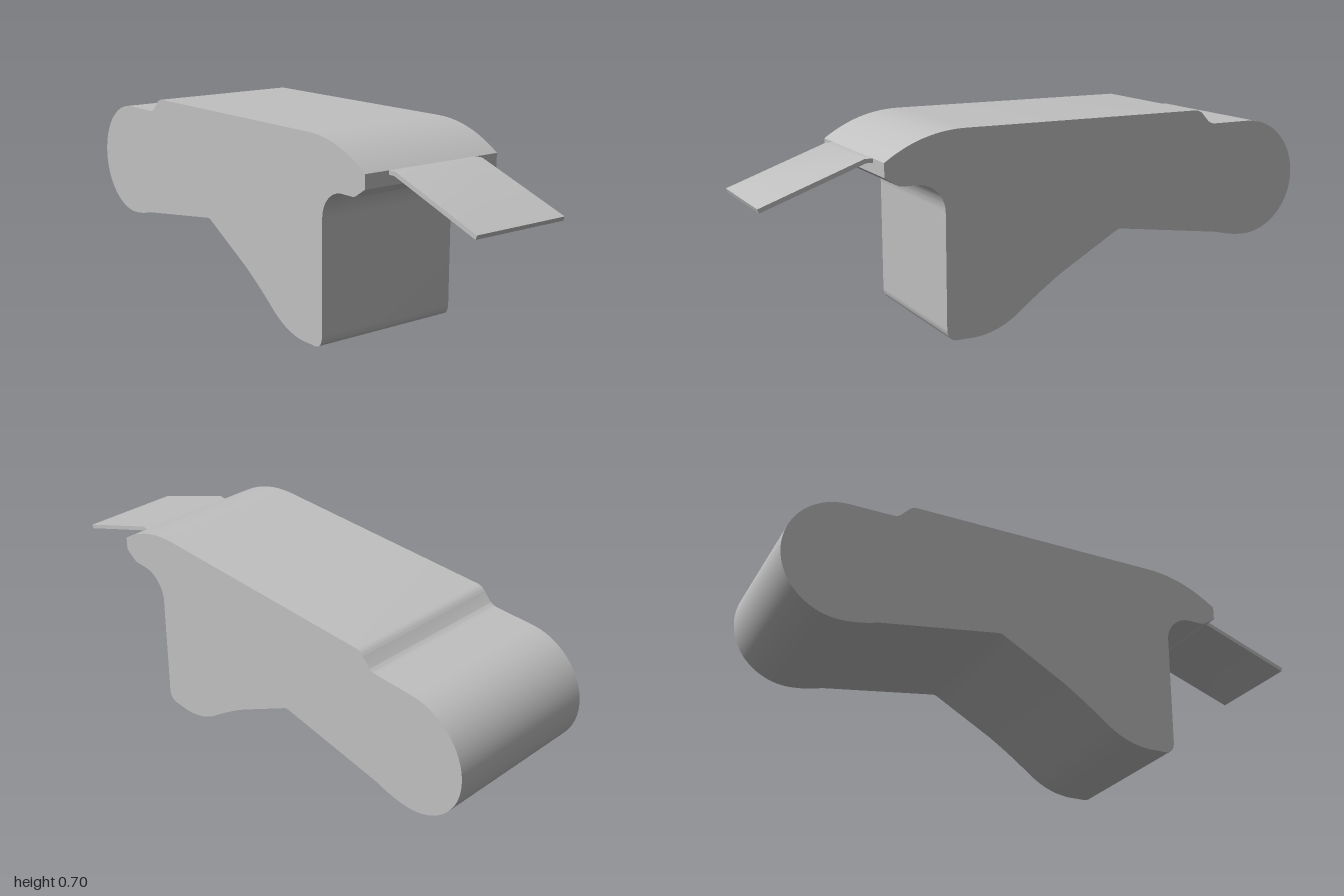
import * as THREE from 'three';
import { toCreasedNormals } from 'three/addons/utils/BufferGeometryUtils.js';

// Extrudes a side profile (x = forward, y = up) across the given width, centred on x = 0
function sideExtrude(shape, width, name, material) {
  const geo = new THREE.ExtrudeGeometry(shape, { depth: width, bevelEnabled: false, curveSegments: 20 });
  geo.rotateY(-Math.PI / 2);
  geo.translate(width / 2, 0, 0);
  const mesh = new THREE.Mesh(toCreasedNormals(geo, 0.35), material);
  mesh.name = name;
  return mesh;
}

export function createModel() {
  const group = new THREE.Group();
  group.name = 'model';
  const grey = new THREE.MeshStandardMaterial({ color: 0xc0c0c0 });
  grey.name = 'grey';

  // Body: curved nose, flat top with a step, round rear, leg with a curved back
  const body = new THREE.Shape();
  body.moveTo(0.622, 0.613);
  body.bezierCurveTo(0.54, 0.67, 0.45, 0.704, 0.34, 0.704);
  body.lineTo(-0.555, 0.704);
  body.quadraticCurveTo(-0.575, 0.704, -0.59, 0.688);
  body.lineTo(-0.612, 0.664);
  body.quadraticCurveTo(-0.624, 0.652, -0.645, 0.652);
  body.lineTo(-0.79, 0.652);
  body.absarc(-0.79, 0.442, 0.21, Math.PI / 2, Math.PI * 1.5, false);
  body.quadraticCurveTo(-0.73, 0.233, -0.67, 0.251);
  body.lineTo(-0.255, 0.309);
  body.quadraticCurveTo(-0.243, 0.311, -0.23, 0.303);
  body.lineTo(-0.02, 0.183);
  body.quadraticCurveTo(0.06, 0.133, 0.14, 0.07);
  body.quadraticCurveTo(0.225, 0.002, 0.32, 0);
  body.lineTo(0.375, 0);
  body.quadraticCurveTo(0.415, 0, 0.415, 0.045);
  body.lineTo(0.415, 0.435);
  body.absarc(0.315 + 0.198, 0.435, 0.098, Math.PI, Math.PI / 2, true);
  body.lineTo(0.56, 0.533);
  body.quadraticCurveTo(0.575, 0.533, 0.588, 0.543);
  body.lineTo(0.622, 0.565);
  body.closePath();
  group.add(sideExtrude(body, 0.564, 'body', grey));

  // Thin plate sloping forward and down from the nose
  const flap = new THREE.Shape([
    [0.61, 0.613], [0.61, 0.599], [0.645, 0.599], [0.995, 0.472], [1.0, 0.486], [0.65, 0.613],
  ].map(([z, y]) => new THREE.Vector2(z, y)));
  group.add(sideExtrude(flap, 0.372, 'frontFlap', grey));

  return group;
}
